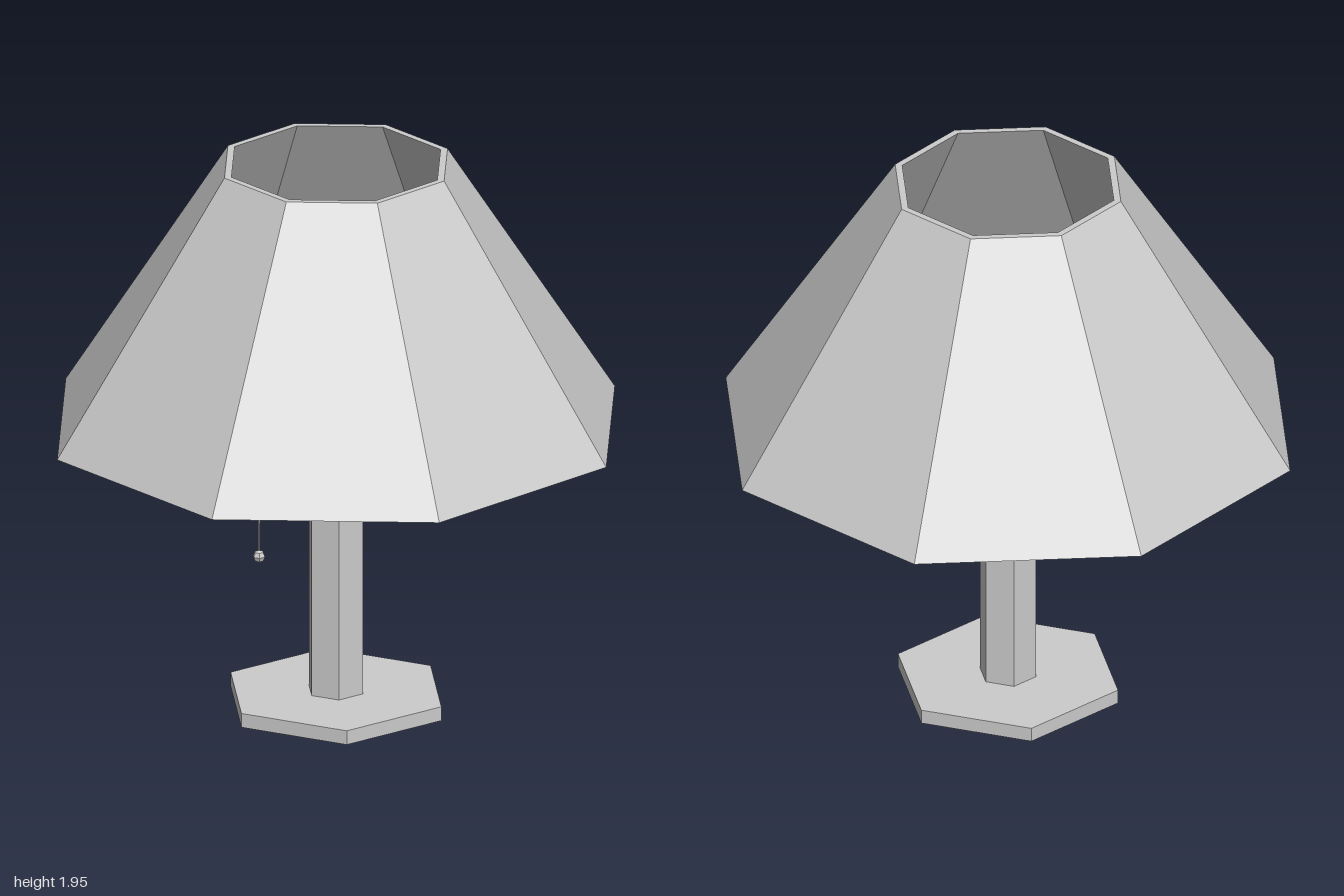
import * as THREE from 'three';

const material = new THREE.MeshStandardMaterial({ color: 0xcccccc, flatShading: true });

export function createModel() {
  const lamp = new THREE.Group();
  lamp.name = 'tableLamp';

  const add = (name, geometry, x = 0, y = 0, z = 0) => {
    const mesh = new THREE.Mesh(geometry, material);
    mesh.name = name;
    mesh.position.set(x, y, z);
    lamp.add(mesh);
    return mesh;
  };

  // Six-sided prism with corners on the x axis, from y0 up to y1
  const hexPrism = (name, radius, y0, y1) =>
    add(name, new THREE.CylinderGeometry(radius, radius, y1 - y0, 6, 1, false, Math.PI / 2), 0, (y0 + y1) / 2, 0);

  hexPrism('base', 0.39, 0, 0.05);
  hexPrism('post', 0.1, 0.05, 1.07);
  hexPrism('socket', 0.06, 1.07, 1.28);

  // Faceted bulb with a flat top
  const bulbProfile = [[0, 1.27], [0.08, 1.27], [0.115, 1.35], [0.08, 1.43], [0, 1.44]];
  add('bulb', new THREE.LatheGeometry(bulbProfile.map(([r, y]) => new THREE.Vector2(r, y)), 6, Math.PI / 2));

  // Eight-sided shade with wall thickness, open at both ends
  const shadeProfile = [[1, 1.01], [0.4, 1.945], [0.375, 1.945], [0.94, 1.01], [1, 1.01]];
  add('shade', new THREE.LatheGeometry(shadeProfile.map(([r, y]) => new THREE.Vector2(r, y)), 8));

  // Four spokes carrying the shade
  for (let i = 0; i < 4; i++) {
    const spoke = new THREE.BoxGeometry(0.85, 0.026, 0.026);
    spoke.translate(0.495, 0, 0);
    add('spoke', spoke, 0, 1.045, 0).rotation.y = i * Math.PI / 2;
  }

  // Switch arm reaching out from the socket
  const chainX = -0.17, chainZ = 0.25, armY = 1.16;
  const reach = Math.hypot(chainX, chainZ);
  const arm = new THREE.BoxGeometry(0.022, 0.022, reach);
  arm.translate(0, 0, reach / 2);
  const angle = Math.atan2(chainX, chainZ);
  add('switchArm', arm, 0, armY, 0).rotation.y = angle;
  add('switchTip', new THREE.BoxGeometry(0.032, 0.032, 0.032), chainX, armY, chainZ).rotation.y = angle;

  // Tapered pull cord and its ball
  add('pullCord', new THREE.CylinderGeometry(0.009, 0.003, armY - 0.6, 6), chainX, (armY + 0.6) / 2, chainZ);
  add('pullBall', new THREE.SphereGeometry(0.022, 6, 4), chainX, 0.59, chainZ);

  return lamp;
}
